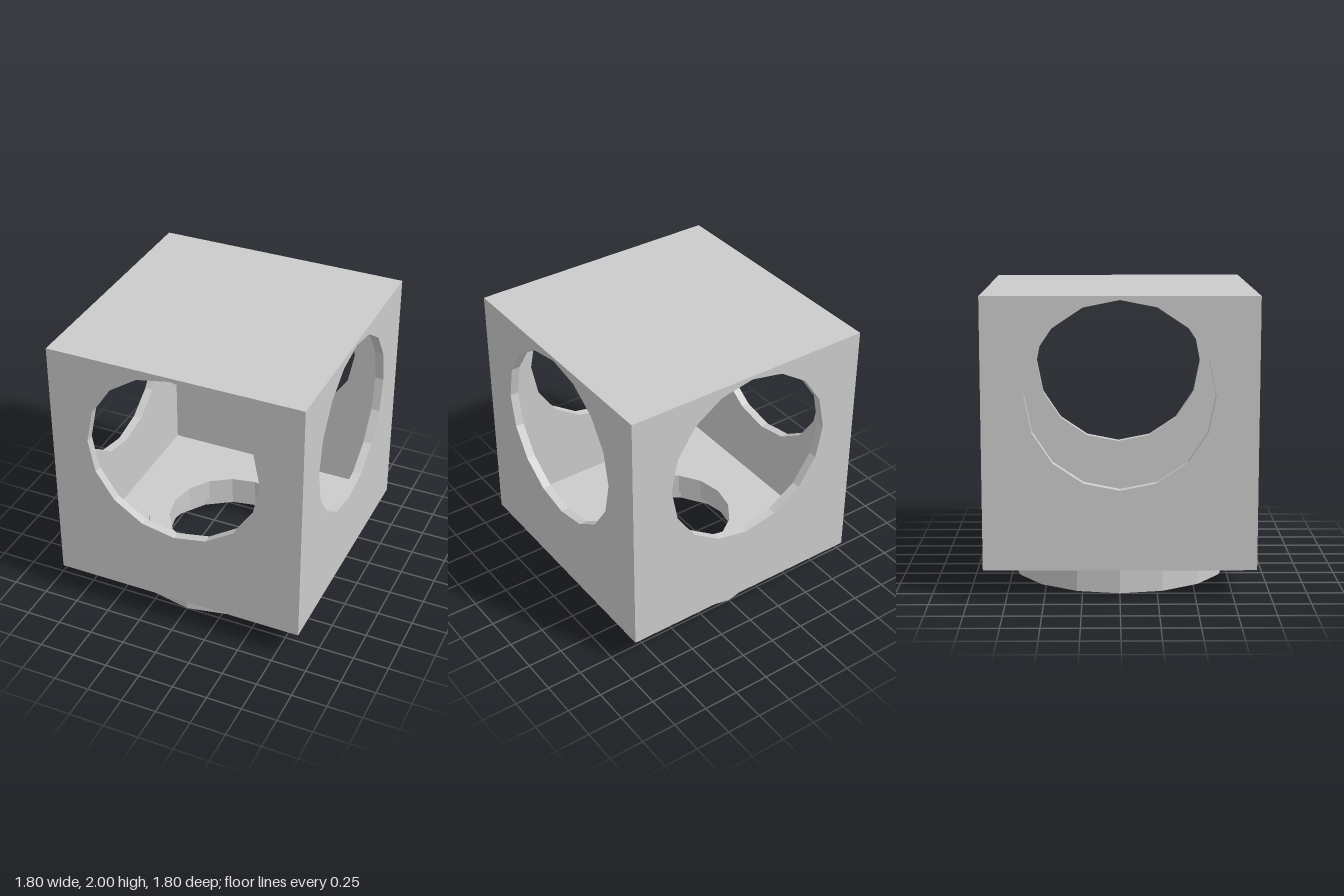
import * as THREE from 'three';

const HALF = 0.9, WALL = 0.06, ROOF = 0.03, BOTTOM = 0.2, FLOOR = 0.25, TOP = 2;
const SIDES = 16;

const material = new THREE.MeshStandardMaterial({ color: 0xcccccc, flatShading: true });

function addMesh(group, name, geometry) {
  const mesh = new THREE.Mesh(geometry, material);
  mesh.name = name;
  group.add(mesh);
  return mesh;
}

// Flat rectangular plate with one sixteen-sided hole, extruded along +z
function plate(halfW, y0, y1, cx, cy, r, depth) {
  const shape = new THREE.Shape([
    new THREE.Vector2(-halfW, y0), new THREE.Vector2(halfW, y0),
    new THREE.Vector2(halfW, y1), new THREE.Vector2(-halfW, y1),
  ]);
  const hole = [];
  for (let i = 0; i < SIDES; i++) {
    const a = (-i / SIDES) * Math.PI * 2;
    hole.push(new THREE.Vector2(cx + r * Math.cos(a), cy + r * Math.sin(a)));
  }
  shape.holes.push(new THREE.Path(hole));
  return new THREE.ExtrudeGeometry(shape, { depth, bevelEnabled: false });
}

// Square-section ring; the profile runs as a closed loop
function ring(inner, outer, y0, y1) {
  const profile = [[inner, y0], [outer, y0], [outer, y1], [inner, y1], [inner, y0]]
    .map(([r, y]) => new THREE.Vector2(r, y));
  return new THREE.LatheGeometry(profile, SIDES);
}

export function createModel() {
  const model = new THREE.Group();
  model.name = 'hollowCubeHousing';

  // Front and back walls, with the holes slightly off centre
  for (const [name, z] of [['frontWall', HALF - WALL], ['backWall', -HALF]]) {
    const wall = addMesh(model, name, plate(HALF, BOTTOM, TOP, -0.015, 1.355, 0.62, WALL));
    wall.position.z = z;
  }

  // Side walls between them
  for (const [name, x] of [['leftWall', HALF - WALL], ['rightWall', -HALF]]) {
    const wall = addMesh(model, name, plate(HALF - WALL, BOTTOM, TOP, 0, 1.355, 0.62, WALL));
    wall.rotation.y = Math.PI / 2;
    wall.position.x = x;
  }

  // Thin roof
  const span = 2 * (HALF - WALL);
  const roof = addMesh(model, 'roof', new THREE.BoxGeometry(span, ROOF, span));
  roof.position.y = TOP - ROOF / 2;

  // Floor with an opening for the socket
  const floor = addMesh(model, 'floor',
    plate(HALF - WALL, -HALF + WALL, HALF - WALL, 0, 0, 0.5, FLOOR - BOTTOM));
  floor.rotation.x = -Math.PI / 2;
  floor.position.y = BOTTOM;

  // Base collar and the narrower stepped ring inside it
  addMesh(model, 'baseCollar', ring(0.56, 0.75, 0, BOTTOM + 0.01));
  addMesh(model, 'innerStepRing', ring(0.45, 0.6, 0.14, 0.3));

  return model;
}
